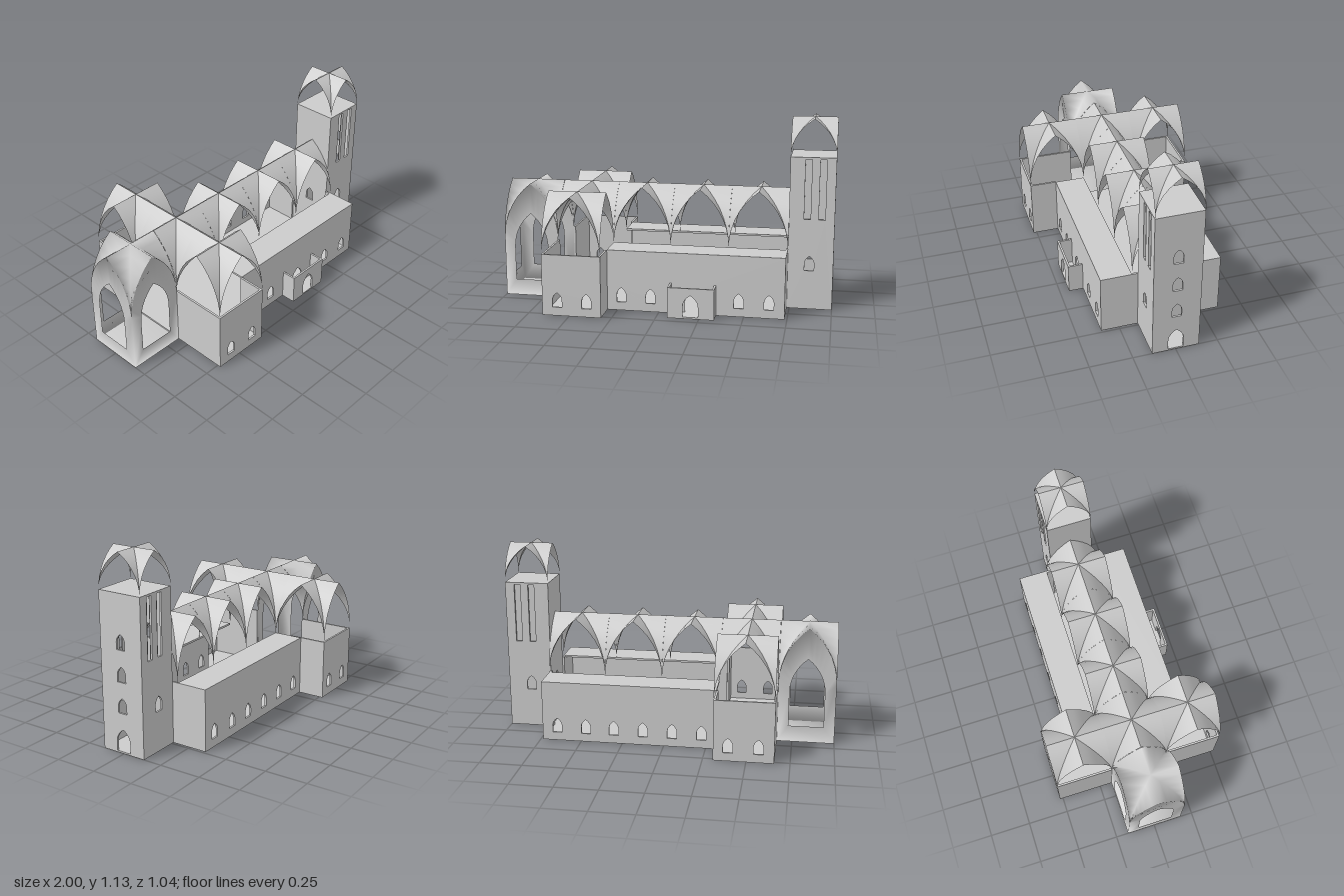
import * as THREE from 'three';
import { mergeGeometries, mergeVertices, toCreasedNormals } from 'three/addons/utils/BufferGeometryUtils.js';

const material = new THREE.MeshStandardMaterial({ color: 0xcccccc, side: THREE.DoubleSide });
const T = 0.012; // wall thickness
const SEG = 7; // segments per half arch

// Pointed arch from (-1,0) over (0,1) to (1,0), each half a circular arc
const R = 2.6;
const arch = [];
for (let i = 0; i <= SEG; i++) {
  const a = (i / SEG) * Math.acos((R - 1) / R);
  arch.push([R - 1 - R * Math.cos(a), Math.sin(a) / Math.sin(Math.acos((R - 1) / R))]);
}
for (let i = SEG - 1; i >= 0; i--) arch.push([-arch[i][0], arch[i][1]]);

// Closed outline: upright sides below a pointed arch
function archOutline(cx, half, y0, spring, apex) {
  return [
    [cx - half, y0],
    ...arch.map(([u, h]) => [cx + u * half, spring + h * (apex - spring)]),
    [cx + half, y0],
  ];
}

// Strip of quads joining two rows of points
function strip(a, b) {
  const index = [];
  for (let i = 0; i < a.length - 1; i++) {
    const j = i + a.length;
    index.push(i, j, i + 1, i + 1, j, j + 1);
  }
  const g = new THREE.BufferGeometry();
  g.setAttribute('position', new THREE.Float32BufferAttribute([...a, ...b].flat(), 3));
  g.setIndex(index);
  return g;
}

// Four webs of a groin vault, centred on the origin
function vaultWebs(hx, hz, spring, apex) {
  const webs = [];
  for (let k = 0; k < 4; k++) {
    const half = k % 2 ? hz : hx;
    const reach = k % 2 ? hx : hz;
    const row = (s) => arch.map(([u, h]) => [u * half, spring + h * (apex - spring), s(u) * reach]);
    webs.push(strip(row((u) => Math.abs(u)), row(() => 1)).rotateY((k * Math.PI) / 2));
  }
  return webs;
}

export function createModel() {
  const model = new THREE.Group();

  function add(name, geometry) {
    const mesh = new THREE.Mesh(geometry, material);
    mesh.name = name;
    model.add(mesh);
    return mesh;
  }

  function slab(name, x0, x1, y0, y1, z0, z1) {
    add(name, new THREE.BoxGeometry(x1 - x0, y1 - y0, z1 - z0))
      .position.set((x0 + x1) / 2, (y0 + y1) / 2, (z0 + z1) / 2);
  }

  function vault(name, cx, cz, hx, hz, spring, apex) {
    const g = mergeGeometries(vaultWebs(hx, hz, spring, apex));
    add(name, toCreasedNormals(g, 0.5)).position.set(cx, 0, cz);
  }

  // Wall whose outer face lies on a plane; openings are outlines in world coordinates
  const turns = { front: 0, right: Math.PI / 2, back: Math.PI, left: -Math.PI / 2 };
  function wall(name, dir, plane, a0, a1, height, openings = []) {
    const s = dir === 'front' || dir === 'left' ? 1 : -1;
    const points = (list) => list.map(([a, y]) => new THREE.Vector2(s * a, y));
    const shape = new THREE.Shape(points([[a0, 0], [a1, 0], [a1, height], [a0, height]]));
    shape.holes = openings.map((o) => new THREE.Path(points(o)));
    const g = new THREE.ExtrudeGeometry(shape, { depth: T, bevelEnabled: false });
    const out = dir === 'front' || dir === 'right' ? plane : -plane;
    add(name, g.translate(0, 0, out - T).rotateY(turns[dir]));
  }

  const window = (c, y = 0.05) => archOutline(c, 0.028, y, y + 0.042, y + 0.088);
  const door = (c, half = 0.045) => archOutline(c, half, 0.01, 0.07, 0.14);

  const H = 0.365, TOP = 0.705, B = 0.174;
  const X = { apse: -1, transept: -0.66, nave: -0.31, tower: 0.735, end: 1 };

  // Nave, aisles and their flat roofs
  const sideWindows = [-0.225, -0.05, 0.125, 0.3, 0.47, 0.645];
  wall('naveFrontWall', 'front', 0.357, X.nave, X.tower, H,
    [...sideWindows.filter((x) => x < 0.1 || x > 0.4).map((x) => window(x)), door(0.2)]);
  wall('naveBackWall', 'back', -0.357, X.nave, X.tower, H, sideWindows.map((x) => window(x)));
  slab('naveFloor', X.nave, X.tower, 0, 0.01, -0.355, 0.355);
  for (const s of [-1, 1]) {
    const [z0, z1] = s > 0 ? [B, 0.357] : [-0.357, -B];
    slab('aisleRoof', X.nave, X.tower, H - T, H, z0, z1);
    const [e0, e1] = s > 0 ? [0.138, 0.357] : [-0.357, -0.138];
    wall('naveEndWall', 'right', X.tower, e0, e1, H);
  }
  for (let i = 0; i < 4; i++) {
    vault(i ? 'naveVault' : 'crossingVault', -0.485 + i * 0.3485, 0, B, B, H, TOP);
  }

  // Transept arms, open between the walls and the vaults
  const armWindows = [window(-0.57), window(-0.395)];
  wall('transeptFrontWall', 'front', 0.52, X.transept, X.nave, H, armWindows);
  wall('transeptBackWall', 'back', -0.52, X.transept, X.nave, H, armWindows);
  slab('transeptFloor', X.transept, X.nave, 0, 0.01, -0.518, 0.518);
  for (const s of [-1, 1]) {
    const span = (a, b) => (s > 0 ? [a, b] : [-b, -a]);
    wall('transeptOuterWall', 'left', X.transept, ...span(B, 0.52), H);
    wall('transeptInnerWall', 'right', X.nave, ...span(0.357, 0.52), H);
    vault('transeptVault', -0.485, s * 0.347, B, 0.173, H, TOP);
  }

  // Apse: smooth shell with a pointed opening on three sides
  const half = 0.17;
  const outer = archOutline(0, half, 0, H, TOP);
  const inner = archOutline(0, 0.104, 0.1, 0.31, 0.52);
  const ring = (list) => [...list, list[0]].map(([x, y]) => [x, y, half]);
  const shell = vaultWebs(half, half, H, TOP);
  for (const k of [0, 2, 3]) {
    shell.push(strip(ring(inner), ring(outer)).rotateY((k * Math.PI) / 2));
  }
  shell.push(strip([[-half, 0, half], [half, 0, half]], [[-half, 0, -half], [half, 0, -half]]));
  const apse = mergeVertices(mergeGeometries(shell), 1e-4);
  apse.computeVertexNormals();
  const apseMesh = add('apse', apse);
  apseMesh.position.x = -0.83;
  apseMesh.scale.z = B / half;

  // Tower
  const W = 0.138, roof = 0.912, mid = (X.tower + X.end) / 2;
  const slot = (x) => [[x - 0.019, 0.545], [x + 0.019, 0.545], [x + 0.019, 0.9], [x - 0.019, 0.9]];
  const slots = [0.841, 0.926];
  for (const [dir, s] of [['front', 1], ['back', -1]]) {
    wall('towerSideWall', dir, s * W, X.tower, X.end, roof, [window(0.86, 0.235), ...slots.map(slot)]);
    for (const x of slots) {
      const z = s * (W - 0.04);
      slab('slotBack', x - 0.03, x + 0.03, 0.53, 0.905, z - 0.003, z + 0.003);
    }
  }
  wall('towerEndWall', 'right', X.end, -W, W, roof,
    [door(0), window(0, 0.235), window(0, 0.415), window(0, 0.598)]);
  wall('towerInnerWall', 'left', X.tower, -W, W, roof, [door(0), window(0, 0.235), window(0, 0.598)]);
  slab('towerFloor', X.tower, X.end, 0, 0.01, -W, W);
  slab('towerRoof', X.tower, X.end, roof - T, roof, -W, W);
  vault('towerVault', mid, 0, (X.end - X.tower) / 2, W, roof, 1.133);

  // Porch, open on top
  wall('porchFrontWall', 'front', 0.445, 0.065, 0.338, 0.182, [door(0.2)]);
  wall('porchLeftWall', 'right', 0.338, 0.355, 0.445, 0.182);
  wall('porchRightWall', 'left', 0.065, 0.355, 0.445, 0.182);
  slab('porchFloor', 0.067, 0.336, 0, 0.01, 0.355, 0.443);

  return model;
}
